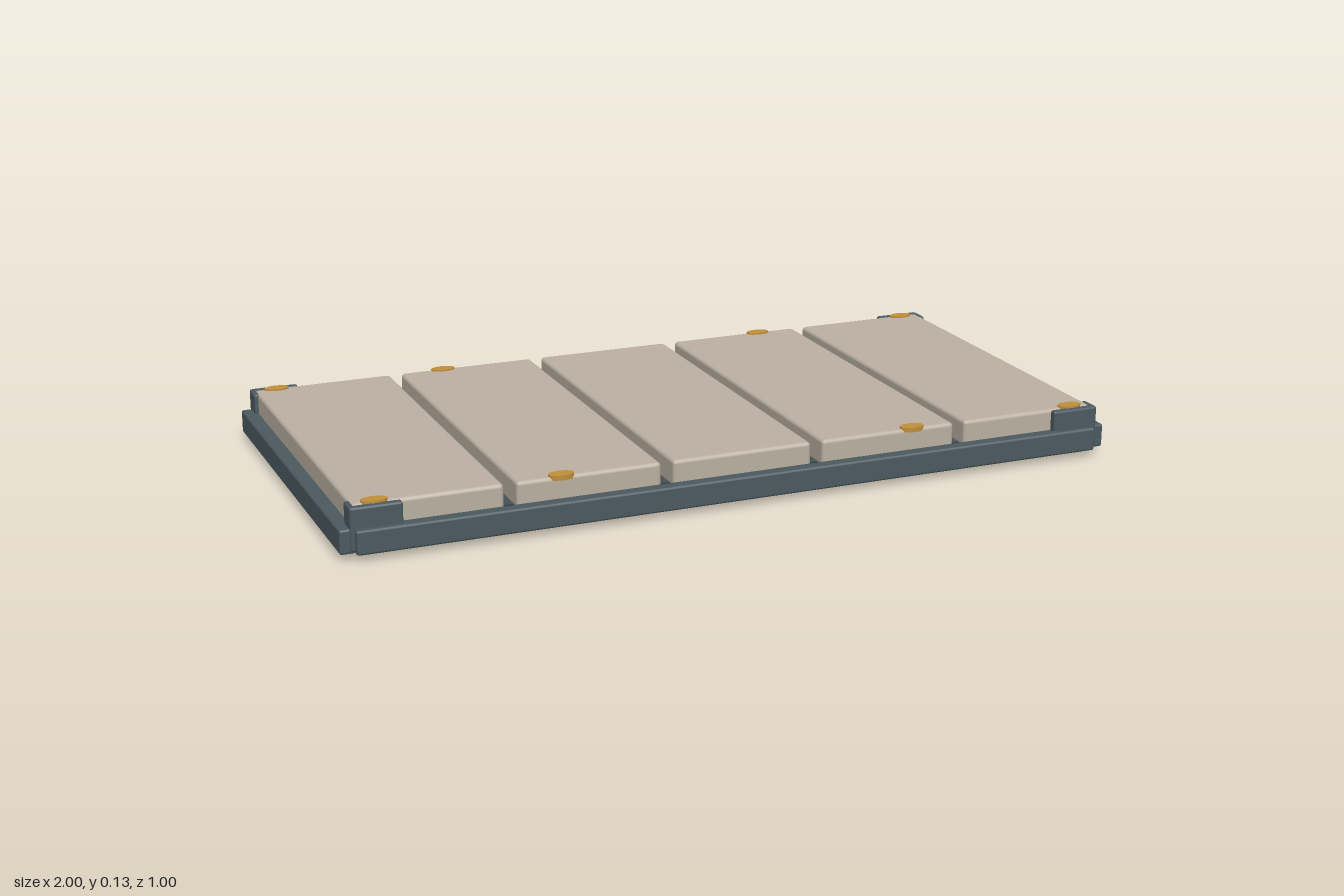
import * as THREE from 'three';
import { RoundedBoxGeometry } from 'three/addons/geometries/RoundedBoxGeometry.js';

export function createModel() {
  const model = new THREE.Group();
  model.name = 'slattedPlatform';
  const mat = (name, color) => {
    const m = new THREE.MeshStandardMaterial({ color });
    m.name = name;
    return m;
  };
  const steel = mat('slate frame', 0x4b5a60);
  const board = mat('warm grey board', 0xbbb0a2);
  const brass = mat('brass', 0xc08f3a);

  // Box given by its minimum and maximum corners, with softened edges
  const block = (name, material, min, max, radius = 0.006) => {
    const size = max.map((v, i) => v - min[i]);
    const mesh = new THREE.Mesh(new RoundedBoxGeometry(...size, 2, radius), material);
    mesh.position.set(...max.map((v, i) => (v + min[i]) / 2));
    mesh.name = name;
    model.add(mesh);
  };
  const mirrored = (s, a, b) => (s > 0 ? [a, b] : [-b, -a]);

  // Outer rails
  for (const s of [-1, 1]) {
    const [z0, z1] = mirrored(s, 0.465, 0.5);
    block('longRail', steel, [-0.965, 0.02, z0], [0.965, 0.08, z1]);
    const [x0, x1] = mirrored(s, 0.962, 1);
    block('endRail', steel, [x0, 0.02, -0.48], [x1, 0.08, 0.48]);
  }

  // Corner brackets: two upright plates meeting in an L
  for (const sx of [-1, 1]) for (const sz of [-1, 1]) {
    const [ax0, ax1] = mirrored(sx, 0.85, 0.973);
    const [az0, az1] = mirrored(sz, 0.466, 0.487);
    block('cornerBracketLong', steel, [ax0, 0.025, az0], [ax1, 0.132, az1]);
    const [bx0, bx1] = mirrored(sx, 0.961, 0.975);
    const [bz0, bz1] = mirrored(sz, 0.43, 0.486);
    block('cornerBracketShort', steel, [bx0, 0.025, bz0], [bx1, 0.132, bz1]);
  }

  // Deck boards
  const pitch = 0.392;
  for (let i = -2; i <= 2; i++) {
    block('deckBoard', board, [i * pitch - 0.181, 0.066, -0.467], [i * pitch + 0.181, 0.133, 0.467], 0.01);
  }

  // Bearers beneath the deck and the central cross beam
  for (const z of [-0.265, 0, 0.265]) {
    block('bearer', steel, [-0.905, 0.007, z - 0.021], [0.905, 0.067, z + 0.021]);
  }
  block('crossBeam', steel, [-0.045, 0.003, -0.435], [0.045, 0.04, 0.435]);

  // Flat oval studs along both long edges
  const studShape = new THREE.CylinderGeometry(1, 1, 0.012, 16);
  for (const x of [-0.91, -0.46, 0.46, 0.91]) for (const z of [-0.456, 0.456]) {
    const stud = new THREE.Mesh(studShape, brass);
    stud.scale.set(0.032, 1, 0.018);
    stud.position.set(x, 0.131, z);
    stud.name = 'stud';
    model.add(stud);
  }
  return model;
}
